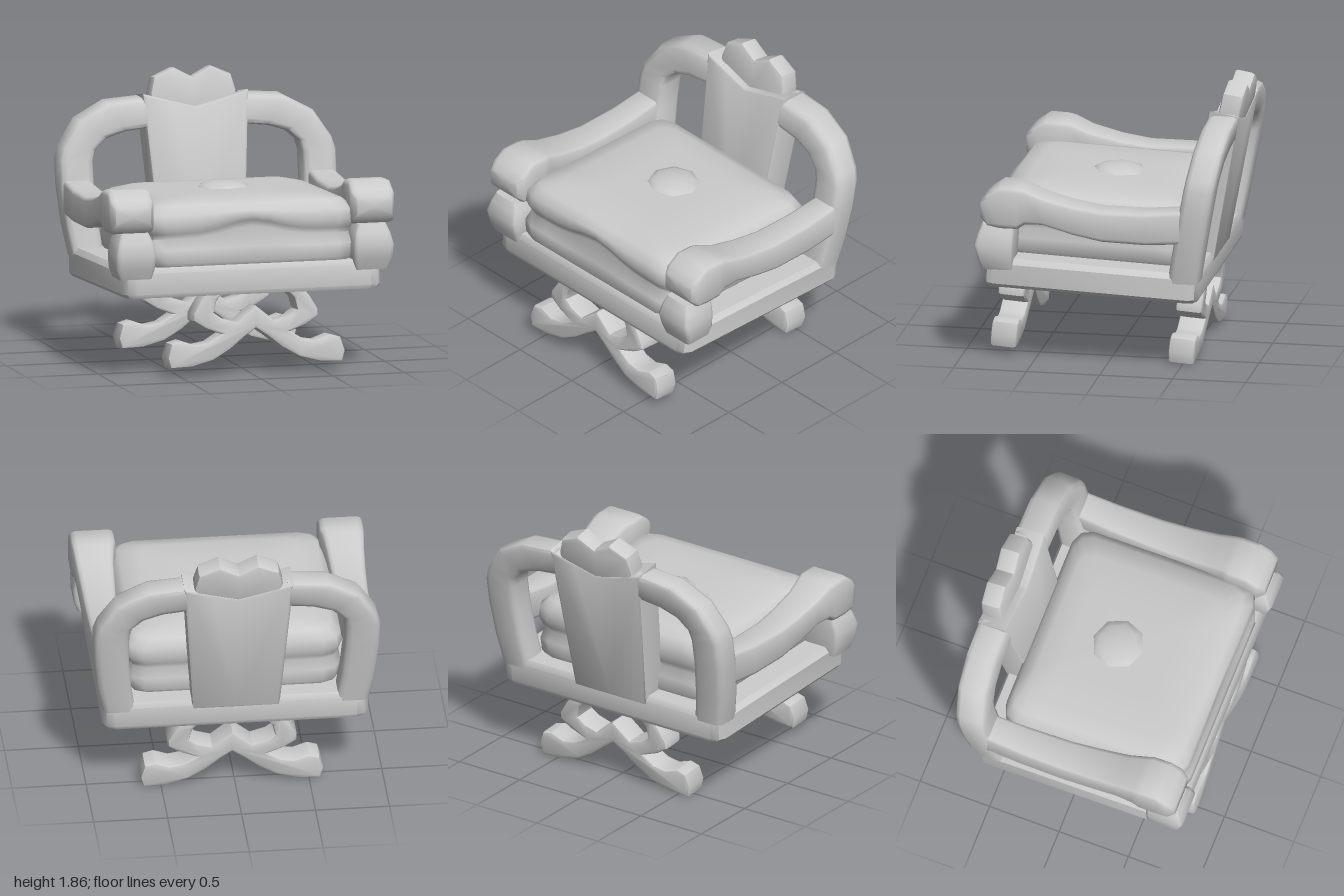
import * as THREE from 'three';
import { toCreasedNormals } from 'three/addons/utils/BufferGeometryUtils.js';

const material = new THREE.MeshStandardMaterial({ color: 0xcccccc, side: THREE.DoubleSide });
const V = (x, y, z) => new THREE.Vector3(x, y, z);

function add(parent, name, geometry, crease = 0.9) {
  const mesh = new THREE.Mesh(toCreasedNormals(geometry, crease), material);
  mesh.name = name;
  parent.add(mesh);
  return mesh;
}

// Rounded rectangle around c, spanned by half-axes u and v; r is the corner share, n the steps per side
function ring(c, u, v, r = 0.25, n = 1) {
  const pts = [];
  for (let s = 0; s < 4; s++) {
    const cs = [1, 0, -1, 0][s], sn = [0, 1, 0, -1][s];
    const put = (a, b) => pts.push(c.clone().addScaledVector(u, a * cs - b * sn).addScaledVector(v, a * sn + b * cs));
    for (let i = 0; i <= n; i++) put(1, (1 - r) * (2 * i / n - 1));
    put(1 - 0.3 * r, 1 - 0.3 * r);
  }
  return pts;
}

// Closed skin through a list of rings, with end caps and outward faces
function loft(rings) {
  const n = rings[0].length, pts = rings.flat(), idx = [];
  for (let j = 0; j < rings.length - 1; j++) {
    for (let i = 0; i < n; i++) {
      const a = j * n + i, b = j * n + (i + 1) % n;
      idx.push(a, b, b + n, a, b + n, a + n);
    }
  }
  [0, rings.length - 1].forEach((j, end) => {
    const centre = rings[j].reduce((s, p) => s.add(p), V(0, 0, 0)).divideScalar(n);
    pts.push(centre);
    for (let i = 0; i < n; i++) {
      const a = j * n + i, b = j * n + (i + 1) % n;
      if (end) idx.push(a, b, pts.length - 1); else idx.push(b, a, pts.length - 1);
    }
  });
  let volume = 0;
  for (let i = 0; i < idx.length; i += 3) {
    volume += pts[idx[i]].dot(pts[idx[i + 1]].clone().cross(pts[idx[i + 2]]));
  }
  if (volume < 0) idx.reverse();
  const g = new THREE.BufferGeometry().setFromPoints(pts);
  g.setIndex(idx);
  return g;
}

// Plate from the right half of an outline, mirrored in x and centred in depth
function plate(half, depth, bevel) {
  const left = half.filter(p => p[0] > 0).reverse().map(([x, y]) => [-x, y]);
  const shape = new THREE.Shape([...half, ...left].map(([x, y]) => new THREE.Vector2(x, y)));
  const g = new THREE.ExtrudeGeometry(shape, {
    depth: depth - 2 * bevel, bevelThickness: bevel, bevelSize: bevel, bevelOffset: -bevel, bevelSegments: 2,
  });
  return g.translate(0, 0, bevel - depth / 2);
}

export function createModel() {
  const model = new THREE.Group();
  model.name = 'armchair';

  // Crossed legs, one pair in front and one behind
  const legHalf = [[0, 0.255], [0.08, 0.2], [0.18, 0.12], [0.3, 0.05], [0.45, 0.01], [0.6, 0.005], [0.62, 0.08],
    [0.59, 0.17], [0.52, 0.19], [0.42, 0.155], [0.33, 0.17], [0.24, 0.225], [0.35, 0.265], [0.435, 0.32],
    [0.435, 0.37], [0.38, 0.46], [0.33, 0.52], [0.2, 0.52], [0.27, 0.45], [0.29, 0.37], [0.235, 0.33],
    [0.135, 0.3], [0, 0.41]];
  for (const [name, y, z] of [['frontLegs', 0.06, 0.73], ['backLegs', 0.006, -0.485]]) {
    const legs = add(model, name, plate(legHalf, 0.18, 0.02), 0.7);
    legs.position.set(0.02, y, z);
    legs.rotation.x = -0.07;
  }

  // Seat, leaning slightly back
  const seat = new THREE.Group();
  seat.name = 'seat';
  seat.rotation.x = -0.041;
  model.add(seat);
  add(seat, 'seatBase', loft([[0.525, 0.88, 0.72], [0.55, 0.9, 0.73], [0.69, 0.9, 0.73], [0.727, 0.87, 0.71]]
    .map(([y, w, d]) => ring(V(0, y, 0.11), V(w, 0, 0), V(0, 0, d), 0.09))), 0.6);

  // Cushion: height, half width, front z, rise of the seam at the front centre
  const layers = [[0.7, 0.68, 0.8, 0], [0.75, 0.72, 0.83, 0], [0.84, 0.73, 0.83, 0.01], [0.91, 0.71, 0.79, 0.07],
    [0.945, 0.72, 0.81, 0.08], [1.0, 0.74, 0.83, 0.05], [1.07, 0.73, 0.82, 0.02], [1.13, 0.67, 0.77, 0],
    [1.16, 0.54, 0.66, 0], [1.17, 0.3, 0.45, 0]];
  add(seat, 'cushion', loft(layers.map(([y, w, front, wave]) => {
    const back = -0.49 + (0.83 - front) * 0.7;
    const pts = ring(V(0, y, (front + back) / 2), V(w, 0, 0), V(0, 0, (front - back) / 2), 0.17, 10);
    for (const p of pts) if (p.z > 0.3) p.y += wave * Math.exp(-((p.x / 0.24) ** 2));
    return pts;
  })), 1.2);
  const button = add(seat, 'cushionButton', new THREE.SphereGeometry(0.185, 8, 4, 0, Math.PI * 2, 0, Math.PI / 2)
    .scale(1, 0.27, 1));
  button.position.set(0, 1.16, 0.09);

  // Armrests: z, bottom, top, inner x, outer x
  const arm = [[-0.58, 0.93, 1.16, 0.76, 0.95], [-0.3, 0.91, 1.13, 0.75, 0.955], [0, 0.92, 1.13, 0.74, 0.96],
    [0.2, 0.96, 1.16, 0.73, 0.965], [0.4, 1.02, 1.21, 0.72, 0.975], [0.52, 1.02, 1.265, 0.705, 0.985],
    [0.57, 0.985, 1.275, 0.69, 0.99], [0.69, 0.985, 1.28, 0.69, 0.99], [0.77, 1.0, 1.225, 0.69, 0.99],
    [0.82, 1.05, 1.18, 0.72, 0.965]];
  // Blocks under the arm fronts: y, inner x, outer x, back z, front z
  const block = [[0.69, 0.71, 0.94, 0.62, 0.82], [0.76, 0.695, 0.965, 0.61, 0.845], [0.86, 0.69, 0.97, 0.605, 0.87],
    [0.94, 0.705, 0.95, 0.6, 0.845], [1.0, 0.73, 0.925, 0.6, 0.82]];
  // Back hoop: outer x, outer y, inner x, inner y
  const hoop = [[0.9, 0.64, 0.68, 0.64], [0.94, 0.85, 0.71, 0.85], [0.965, 1.1, 0.73, 1.1], [0.965, 1.29, 0.73, 1.28],
    [0.94, 1.37, 0.71, 1.35], [0.82, 1.55, 0.63, 1.42], [0.61, 1.66, 0.5, 1.46], [0.33, 1.68, 0.33, 1.48]];
  const lean = y => -0.555 - 0.18 * (y - 0.7);

  for (const [side, s] of [['left', 1], ['right', -1]]) {
    add(model, side + 'Armrest', loft(arm.map(([z, b, t, i, o]) =>
      ring(V(s * (i + o) / 2, (b + t) / 2, z), V((o - i) / 2, 0, 0), V(0, (t - b) / 2, 0)))));
    add(model, side + 'ArmBlock', loft(block.map(([y, i, o, b, f]) =>
      ring(V(s * (i + o) / 2, y, (b + f) / 2), V((o - i) / 2, 0, 0), V(0, 0, (f - b) / 2), 0.2))));
    add(model, side + 'BackHoop', loft(hoop.map(([ox, oy, ix, iy]) => {
      const outer = V(s * ox, oy, lean(oy)), inner = V(s * ix, iy, lean(iy));
      return ring(outer.clone().add(inner).multiplyScalar(0.5), outer.clone().sub(inner).multiplyScalar(0.5),
        V(0, 0, 0.105), 0.4);
    })));
  }

  // Leaning back panel and its crest
  const back = new THREE.Group();
  back.name = 'backrest';
  back.position.set(0, 0.65, lean(0.65));
  back.rotation.x = -0.178;
  model.add(back);
  add(back, 'backPanel', plate([[0, 0], [0.295, 0], [0.37, 1.06], [0.17, 1.005], [0, 0.96]], 0.21, 0.02), 0.6);
  const crest = add(back, 'backCrest', plate([[0, 0.9], [0.28, 0.9], [0.3, 1.06], [0.27, 1.17], [0.13, 1.232],
    [0, 1.162]], 0.145, 0.025), 0.7);
  crest.position.z = -0.025;

  return model;
}
